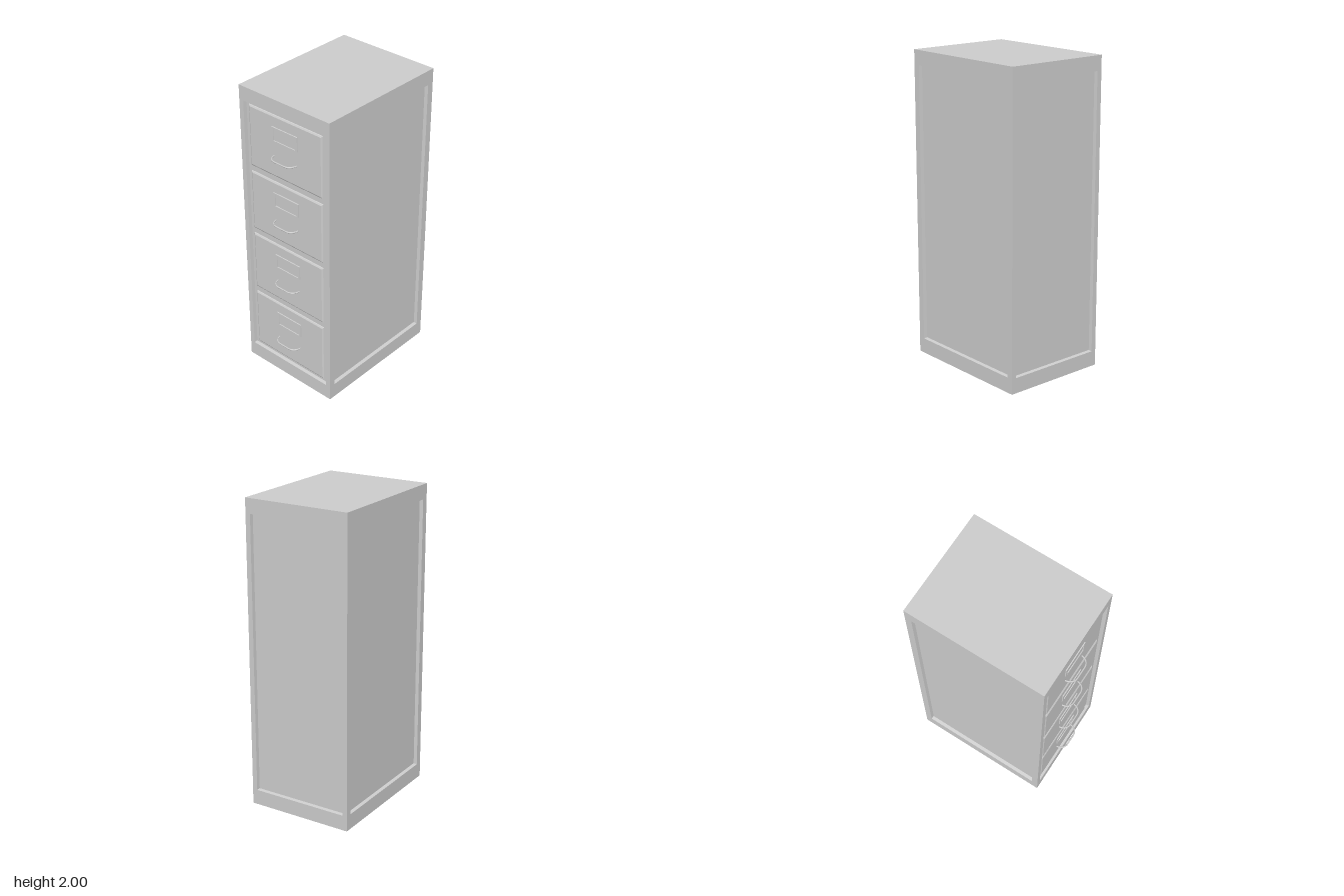
import * as THREE from 'three';

const material = new THREE.MeshStandardMaterial({ color: 0xcccccc });

function mesh(name, geometry) {
  const m = new THREE.Mesh(geometry, material);
  m.name = name;
  return m;
}

// Rectangular rings [halfWidth, bottom, top, depth] joined into sharp-edged
// steps facing +z; the last ring is closed with a flat panel.
function steppedPanel(rings) {
  const corners = rings.map(([w, y0, y1, z]) =>
    [[-w, y0, z], [w, y0, z], [w, y1, z], [-w, y1, z]]);
  const positions = [];
  const quad = (a, b, c, d) => positions.push(...a, ...b, ...c, ...a, ...c, ...d);
  for (let i = 0; i + 1 < corners.length; i++) {
    const outer = corners[i], inner = corners[i + 1];
    for (let k = 0; k < 4; k++) {
      const n = (k + 1) % 4;
      quad(outer[k], outer[n], inner[n], inner[k]);
    }
  }
  quad(...corners[corners.length - 1]);
  const g = new THREE.BufferGeometry();
  g.setAttribute('position', new THREE.Float32BufferAttribute(positions, 3));
  g.computeVertexNormals();
  return g;
}

// Cabinet extents
const W = 0.355, H = 2, FRONT = 0.437, BACK = -0.485;
const MID = (FRONT + BACK) / 2, HALF_DEPTH = (FRONT - BACK) / 2;
const RECESS = 0.022, LOW = 0.1, HIGH = 1.905;

// One cabinet wall: a flat border around a sunken panel
function wall(name, halfWidth, border) {
  const w = halfWidth - border;
  return mesh(name, steppedPanel([
    [halfWidth, 0, H, 0],
    [w, LOW, HIGH, 0],
    [w - 0.004, LOW + 0.004, HIGH - 0.004, -RECESS],
  ]));
}

function createCabinet() {
  const cabinet = new THREE.Group();
  cabinet.name = 'cabinet';

  const front = wall('frontFrame', W, 0.033);
  front.position.z = FRONT;
  const back = wall('backPanel', W, 0.033);
  back.position.z = BACK;
  back.rotation.y = Math.PI;
  cabinet.add(front, back);

  for (const side of [1, -1]) {
    const panel = wall(side > 0 ? 'leftPanel' : 'rightPanel', HALF_DEPTH, 0.044);
    panel.position.set(side * W, 0, MID);
    panel.rotation.y = side * Math.PI / 2;
    cabinet.add(panel);
  }

  for (const [name, y, turn] of [['top', H, -1], ['base', 0, 1]]) {
    const plate = mesh(name, new THREE.PlaneGeometry(2 * W, 2 * HALF_DEPTH));
    plate.position.set(0, y, MID);
    plate.rotation.x = turn * Math.PI / 2;
    cabinet.add(plate);
  }
  return cabinet;
}

// Bowed pull: straight in the middle with rounded shoulders
function createHandle() {
  const p = (x, z) => new THREE.Vector3(x, 0, z);
  const path = new THREE.CurvePath();
  path.add(new THREE.CubicBezierCurve3(p(-0.091, -0.004), p(-0.089, 0.03), p(-0.067, 0.052), p(-0.038, 0.052)));
  path.add(new THREE.LineCurve3(p(-0.038, 0.052), p(0.038, 0.052)));
  path.add(new THREE.CubicBezierCurve3(p(0.038, 0.052), p(0.067, 0.052), p(0.089, 0.03), p(0.091, -0.004)));
  return mesh('handle', new THREE.TubeGeometry(path, 40, 0.005, 8));
}

// Drawer front with bevelled edge, label frame and handle; origin at bottom centre
function createDrawer(index) {
  const drawer = new THREE.Group();
  drawer.name = `drawer${index + 1}`;
  const depth = 0.01, height = 0.413;

  drawer.add(mesh('drawerFront', steppedPanel([
    [0.292, 0, height, 0],
    [0.29, 0.002, height - 0.002, depth * 0.5],
    [0.281, 0.011, height - 0.011, depth],
  ])));

  const label = mesh('labelHolder', steppedPanel([
    [0.103, -0.048, 0.048, 0],
    [0.102, -0.047, 0.047, 0.006],
    [0.088, -0.042, 0.042, 0.006],
    [0.087, -0.041, 0.041, 0.001],
  ]));
  label.position.set(0, 0.29, depth);

  const handle = createHandle();
  handle.position.set(0, 0.143, depth);
  drawer.add(label, handle);

  drawer.position.set(-0.003, 0.122 + index * 0.451, FRONT - RECESS);
  return drawer;
}

export function createModel() {
  const model = new THREE.Group();
  model.name = 'filingCabinet';
  model.add(createCabinet());
  for (let i = 0; i < 4; i++) model.add(createDrawer(i));
  return model;
}
